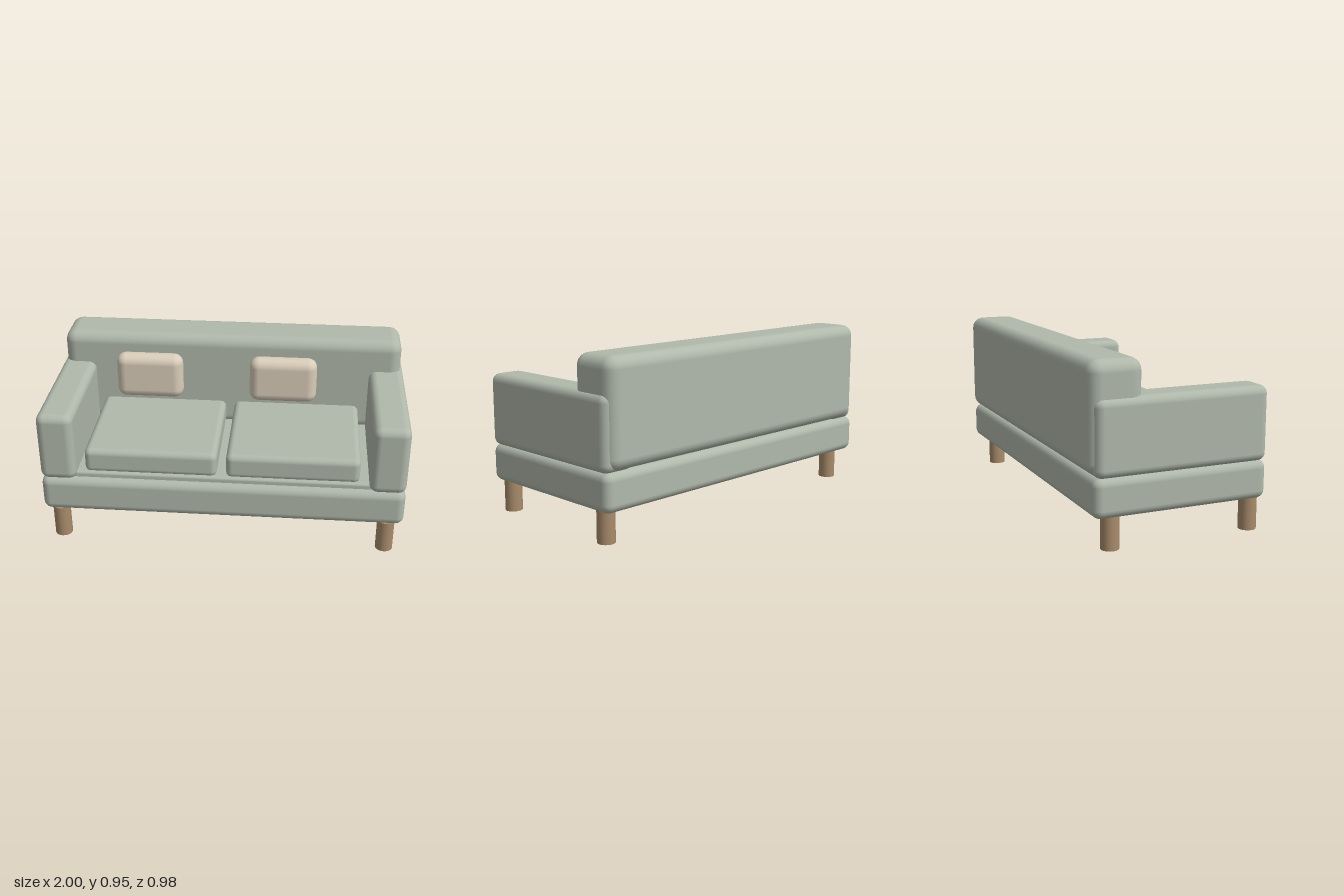
import * as THREE from 'three';
import { RoundedBoxGeometry } from 'three/addons/geometries/RoundedBoxGeometry.js';

export function createModel() {
  const sofa = new THREE.Group();
  sofa.name = 'sofa';
  const fabric = new THREE.MeshStandardMaterial({ color: 0xb0b8ab });
  const linen = new THREE.MeshStandardMaterial({ color: 0xdacdba });
  const wood = new THREE.MeshStandardMaterial({ color: 0xa88b6b });

  // Soft box given by its extents on each axis
  function softBox(name, [x0, x1], [y0, y1], [z0, z1], radius, material = fabric) {
    const geometry = new RoundedBoxGeometry(x1 - x0, y1 - y0, z1 - z0, 3, radius);
    const mesh = new THREE.Mesh(geometry, material);
    mesh.position.set((x0 + x1) / 2, (y0 + y1) / 2, (z0 + z1) / 2);
    mesh.name = name;
    sofa.add(mesh);
  }

  // Frame and backrest
  softBox('base', [-1, 1], [0.178, 0.385], [-0.475, 0.49], 0.045);
  softBox('seatDeck', [-0.84, 0.84], [0.37, 0.415], [-0.43, 0.45], 0.015);
  softBox('backrest', [-0.98, 0.98], [0.385, 0.955], [-0.49, -0.2], 0.065);

  // Seat cushions and the pillows resting on the backrest
  for (const x of [-0.76, 0.02]) softBox('seatCushion', [x, x + 0.73], [0.4, 0.545], [-0.26, 0.435], 0.035);
  for (const x of [-0.67, 0.11]) softBox('pillow', [x, x + 0.39], [0.58, 0.85], [-0.235, -0.122], 0.055, linen);

  // Armrests and legs, mirrored left and right
  for (const side of [-1, 1]) {
    softBox('armrest', side > 0 ? [0.8, 1] : [-1, -0.8], [0.377, 0.773], [-0.465, 0.49], 0.045);
    for (const z of [0.434, -0.356]) {
      const leg = new THREE.Mesh(new THREE.CylinderGeometry(0.048, 0.048, 0.185, 24), wood);
      leg.position.set(side * 0.908, 0.0925, z);
      leg.name = z > 0 ? 'frontLeg' : 'backLeg';
      sofa.add(leg);
    }
  }
  return sofa;
}
